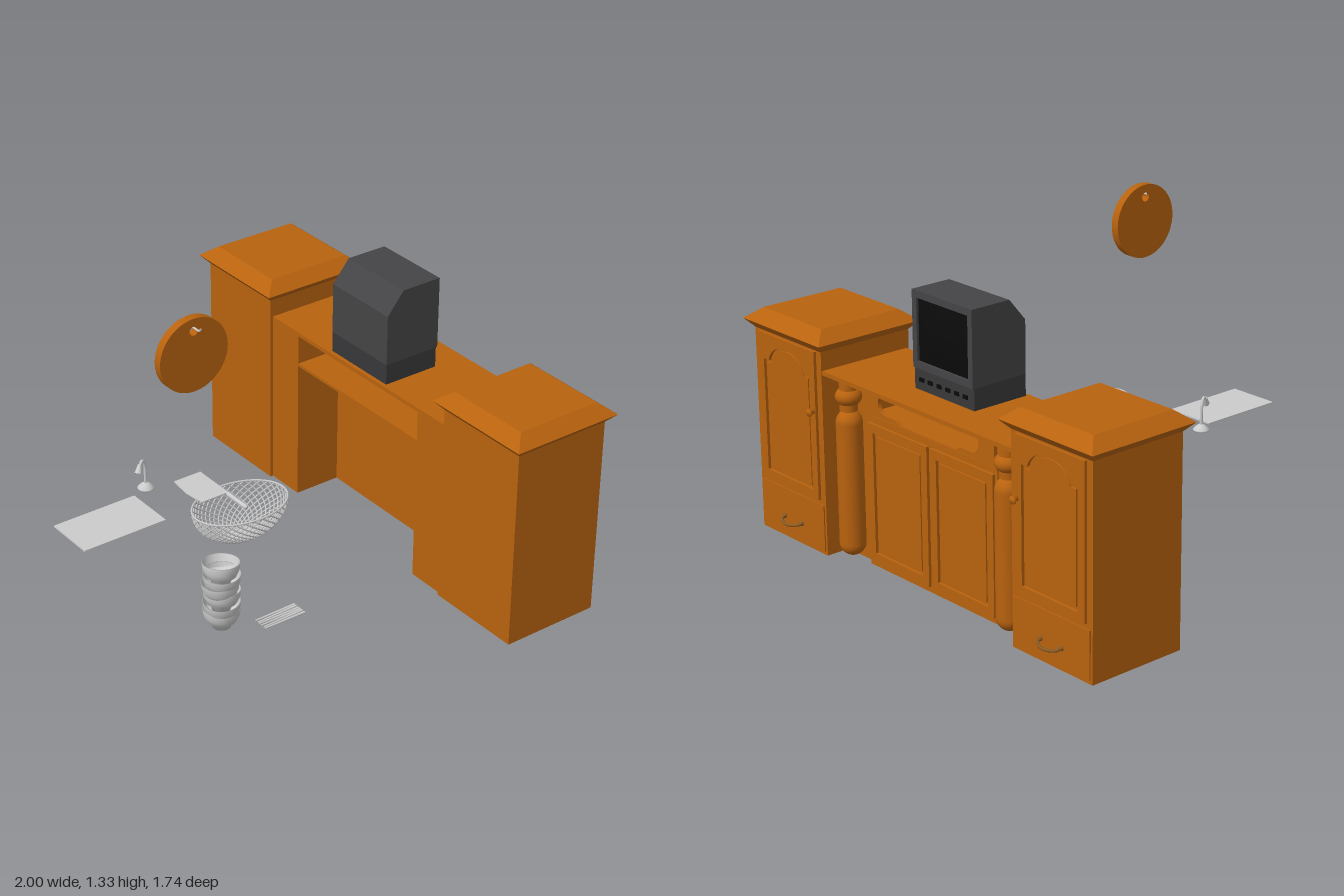
import * as THREE from 'three';

const mat = (color) => new THREE.MeshStandardMaterial({ color, side: THREE.DoubleSide });
const V = (x, y, z) => new THREE.Vector3(x, y, z);

export function createModel() {
  const root = new THREE.Group();
  const wood = mat(0xb8620e), grey = mat(0xcccccc), dark = mat(0x444446), black = mat(0x0b0b0b);
  const brass = mat(0x8a5a22);
  const woodFlat = wood.clone();
  woodFlat.flatShading = true;

  const add = (name, geo, m, x = 0, y = 0, z = 0, parent = root) => {
    const mesh = new THREE.Mesh(geo, m);
    mesh.name = name;
    mesh.position.set(x, y, z);
    parent.add(mesh);
    return mesh;
  };
  // Box given by its limits on each axis
  const box = (name, x0, x1, y0, y1, z0, z1, m = wood, parent = root) =>
    add(name, new THREE.BoxGeometry(x1 - x0, y1 - y0, z1 - z0), m, (x0 + x1) / 2, (y0 + y1) / 2, (z0 + z1) / 2, parent);
  const extrude = (shape, depth) =>
    new THREE.ExtrudeGeometry(shape, { depth, bevelEnabled: false, curveSegments: 16 });
  const tube = (pts, r, n = 16, sides = 8) =>
    new THREE.TubeGeometry(new THREE.CatmullRomCurve3(pts), n, r, sides);
  const rect = (w, h, Kind = THREE.Shape) => {
    const s = new Kind();
    s.moveTo(-w / 2, -h / 2); s.lineTo(w / 2, -h / 2); s.lineTo(w / 2, h / 2); s.lineTo(-w / 2, h / 2);
    s.closePath();
    return s;
  };
  // Panel outline whose top edge rises in an arch
  const archPanel = (w, h, rise, Kind = THREE.Shape) => {
    if (!rise) return rect(w, h, Kind);
    const s = new Kind(), a = w / 2, t = h / 2 - rise;
    s.moveTo(-a, -h / 2); s.lineTo(a, -h / 2); s.lineTo(a, t); s.lineTo(a * 0.78, t);
    s.bezierCurveTo(a * 0.6, t + rise * 1.33, -a * 0.6, t + rise * 1.33, -a * 0.78, t);
    s.lineTo(-a, t); s.closePath();
    return s;
  };
  // Framed door facing -z, with a raised field
  const door = (name, x, y, z, w, h, rise) => {
    const g = new THREE.Group();
    g.name = name;
    g.position.set(x, y, z);
    const frame = rect(w, h);
    frame.holes.push(archPanel(w - 0.07, h - 0.07, rise, THREE.Path));
    add('doorFrame', extrude(frame, 0.012), wood, 0, 0, -0.012, g);
    add('doorField', extrude(archPanel(w - 0.095, h - 0.095, rise), 0.007), wood, 0, 0, -0.007, g);
    root.add(g);
  };
  // Four-sided tapering block
  const taper = (name, half0, half1, y0, y1, x, z) => {
    const geo = new THREE.CylinderGeometry(half1 * Math.SQRT2, half0 * Math.SQRT2, y1 - y0, 4);
    geo.rotateY(Math.PI / 4);
    add(name, geo, woodFlat, x, (y0 + y1) / 2, z);
  };

  // Tall end cabinets, pillars and columns
  for (const s of [-1, 1]) {
    const cx = s * 0.757, cz = -0.612;
    const ring = rect(0.42, 0.42);
    ring.holes.push(rect(0.396, 0.396, THREE.Path));
    const shell = extrude(ring, 0.84);
    shell.rotateX(-Math.PI / 2);
    add('cabinetShell', shell, wood, cx, 0, cz);
    box('cabinetFloor', cx - 0.2, cx + 0.2, 0.2, 0.21, cz - 0.2, cz + 0.2);
    taper('cabinetCornice', 0.21, 0.243, 0.83, 0.865, cx, cz);
    taper('cabinetTop', 0.243, 0.185, 0.865, 0.91, cx, cz);
    door('cabinetDoor', cx, 0.525, -0.822, 0.36, 0.6, 0.07);
    box('drawerFront', cx - 0.2, cx + 0.2, 0.015, 0.205, -0.827, -0.82);
    add('drawerHandle', tube([V(-0.055, 0, 0), V(-0.05, -0.006, -0.02), V(0, -0.012, -0.038),
      V(0.05, -0.006, -0.02), V(0.055, 0, 0)], 0.006), brass, cx, 0.09, -0.826);
    for (const e of [-1, 1])
      add('handleRose', new THREE.SphereGeometry(0.011, 12, 8), brass, cx + e * 0.055, 0.09, -0.828);
    const knob = new THREE.LatheGeometry([[0, 0], [0.009, 0], [0.007, 0.01], [0.016, 0.018], [0.015, 0.025], [0, 0.03]]
      .map((p) => new THREE.Vector2(...p)), 16);
    knob.rotateX(-Math.PI / 2);
    add('doorKnob', knob, wood, s * 0.59, 0.585, -0.833);

    const px = [s * 0.377, s * 0.55].sort((a, b) => a - b);
    box('pillar', px[0], px[1], 0, 0.738, -0.72, -0.415);
    add('column', new THREE.CapsuleGeometry(0.052, 0.49, 10, 24), wood, s * 0.462, 0.315, -0.762);
    const ball = add('columnCapital', new THREE.SphereGeometry(0.052, 24, 14), wood, s * 0.462, 0.665, -0.762);
    ball.scale.y = 0.75;
    add('columnNeck', new THREE.CylinderGeometry(0.035, 0.035, 0.13, 20), wood, s * 0.462, 0.674, -0.762);
    door('deskDoor', s * 0.187, 0.305, -0.742, 0.355, 0.56, 0);
  }

  // Desk between the cabinets
  box('deskTop', -0.55, 0.55, 0.738, 0.755, -0.818, -0.413);
  box('deskBody', -0.377, 0.377, 0, 0.6, -0.742, -0.62);
  box('deskShelf', -0.377, 0.377, 0.6, 0.612, -0.742, -0.415);
  const rail = rect(0.754, 0.118), cut = new THREE.Path();
  cut.moveTo(-0.16, -0.055); cut.lineTo(0.16, -0.055); cut.lineTo(0.19, -0.04); cut.lineTo(0.25, -0.04);
  cut.absarc(0.25, 0, 0.04, -Math.PI / 2, Math.PI / 2, false);
  cut.lineTo(0.19, 0.04); cut.lineTo(0.16, 0.055); cut.lineTo(-0.16, 0.055);
  cut.lineTo(-0.19, 0.04); cut.lineTo(-0.25, 0.04);
  cut.absarc(-0.25, 0, 0.04, Math.PI / 2, Math.PI * 1.5, false);
  cut.lineTo(-0.19, -0.04); cut.closePath();
  rail.holes.push(cut);
  add('deskRail', extrude(rail, 0.015), wood, 0, 0.68, -0.755);

  // Television
  const tv = new THREE.Group();
  tv.name = 'television';
  tv.position.x = -0.005;
  root.add(tv);
  const side = new THREE.Shape([[-0.665, 0.84], [-0.665, 1.14], [-0.505, 1.14], [-0.43, 1.05], [-0.43, 0.84]]
    .map((p) => new THREE.Vector2(...p)));
  const casing = extrude(side, 0.34);
  casing.rotateY(-Math.PI / 2);
  add('tvCasing', casing, dark, 0.17, 0, 0, tv);
  box('tvBase', -0.17, 0.17, 0.755, 0.84, -0.675, -0.43, mat(0x38383a), tv);
  const bezel = rect(0.34, 0.3);
  bezel.holes.push(rect(0.29, 0.245, THREE.Path));
  add('tvBezel', extrude(bezel, 0.018), dark, 0, 0.99, -0.682, tv);
  const screen = new THREE.PlaneGeometry(0.29, 0.245, 16, 12);
  const sp = screen.attributes.position;
  for (let i = 0; i < sp.count; i++) {
    const u = sp.getX(i) / 0.145, v = sp.getY(i) / 0.1225;
    sp.setZ(i, 0.018 * (1 - u * u) * (1 - v * v));
  }
  screen.computeVertexNormals();
  screen.rotateY(Math.PI);
  add('tvScreen', screen, black, 0, 0.99, -0.672, tv);
  for (let i = 0; i < 6; i++)
    box('tvButton', -0.135 + i * 0.05, -0.11 + i * 0.05, 0.79, 0.805, -0.68, -0.674, black, tv);

  // Round cutting board hanging on a peg
  const disc = new THREE.Shape(), hole = new THREE.Path();
  disc.absarc(0, 0, 0.148, 0, Math.PI * 2, false);
  hole.absarc(0, 0.098, 0.018, 0, Math.PI * 2, false);
  disc.holes.push(hole);
  const board = new THREE.ExtrudeGeometry(disc, { depth: 0.034, bevelEnabled: false, curveSegments: 40 });
  board.rotateY(Math.PI / 2);
  add('cuttingBoard', board, wood, 0.14, 1.18, 0.47);
  add('boardPeg', tube([V(0.135, 1.292, 0.47), V(0.18, 1.292, 0.47), V(0.21, 1.294, 0.47), V(0.217, 1.305, 0.47)], 0.004), grey);

  // Swan-neck tap
  add('tapBase', new THREE.LatheGeometry([[0, 0], [0.032, 0], [0.032, 0.006], [0.02, 0.018], [0.008, 0.026], [0, 0.027]]
    .map((p) => new THREE.Vector2(...p)), 24), grey, -0.22, 0.413, 0.437);
  add('tapNeck', tube([V(-0.22, 0.43, 0.437), V(-0.22, 0.52, 0.44), V(-0.216, 0.543, 0.452),
    V(-0.208, 0.536, 0.468)], 0.006, 24), grey);
  const head = add('tapHead', new THREE.CylinderGeometry(0.007, 0.015, 0.036, 16), grey, -0.202, 0.522, 0.477);
  head.rotation.set(-0.5, 0, 0.35);

  // Thin tray
  box('tray', -0.195, 0.02, 0.412, 0.418, 0.507, 0.87, grey);

  // Cleaver
  const blade = new THREE.Shape([[-0.265, 0.15], [-0.075, 0.15], [-0.075, 0.272], [-0.11, 0.28], [-0.17, 0.286], [-0.265, 0.275]]
    .map((p) => new THREE.Vector2(...p)));
  const bladeGeo = extrude(blade, 0.004);
  bladeGeo.rotateX(Math.PI / 2);
  add('cleaverBlade', bladeGeo, grey, 0, 0.362, 0);
  const grip = new THREE.CapsuleGeometry(0.009, 0.115, 6, 12);
  grip.rotateZ(Math.PI / 2);
  add('cleaverHandle', grip, grey, -0.008, 0.36, 0.157);

  // Oval basket woven from two crossing sets of spiral strands
  const basket = new THREE.Group();
  basket.name = 'basket';
  basket.position.set(-0.107, 0.268, 0.072);
  root.add(basket);
  const onBasket = (a, t) => {
    const r = Math.cos(t * 1.25);
    return V(0.145 * r * Math.cos(a), -0.146 * Math.sin(t * 1.25) / Math.sin(1.25), 0.208 * r * Math.sin(a));
  };
  const strands = 34;
  for (const dir of [-1, 1])
    for (let i = 0; i < strands; i++) {
      const pts = [];
      for (let k = 0; k <= 10; k++) pts.push(onBasket((i / strands) * Math.PI * 2 + dir * k * 0.125, k / 10));
      add('basketStrand', tube(pts, 0.0034, 18, 5), grey, 0, 0, 0, basket);
    }
  for (const t of [0, 1]) {
    const pts = [];
    for (let k = 0; k < 40; k++) pts.push(onBasket((k / 40) * Math.PI * 2, t));
    add('basketHoop', new THREE.TubeGeometry(new THREE.CatmullRomCurve3(pts, true), 64, 0.0045, 6, true), grey, 0, 0, 0, basket);
  }
  const foot = new THREE.CircleGeometry(1, 32);
  foot.rotateX(-Math.PI / 2);
  foot.scale(0.046, 1, 0.066);
  add('basketFloor', foot, grey, 0, -0.146, 0, basket);

  // Leaning stack of bowls
  const bowl = new THREE.LatheGeometry([[0, 0.006], [0.036, 0], [0.038, 0.012], [0.058, 0.03], [0.069, 0.055],
    [0.073, 0.085], [0.069, 0.085], [0.063, 0.055], [0.05, 0.032], [0, 0.016]].map((p) => new THREE.Vector2(...p)), 32);
  for (let i = 0; i < 6; i++) {
    const b = add('bowl', bowl, grey, 0.357 + 0.003 * Math.sin(i * 2), 0.117 + i * 0.0385, 0.492);
    b.rotation.set(i ? 0.09 * Math.sin(i * 2.3) : 0, 0, i ? 0.1 * Math.cos(i * 2.6) : 0);
  }

  // Chopsticks lying side by side
  for (let i = 0; i < 6; i++) {
    const stick = new THREE.CylinderGeometry(0.0035, 0.0055, 0.18, 8);
    stick.rotateX(Math.PI / 2);
    add('chopstick', stick, grey, 0.442 + i * 0.0125, 0.146, 0.306).rotation.y = 0.02 * Math.sin(i * 2);
  }
  return root;
}
